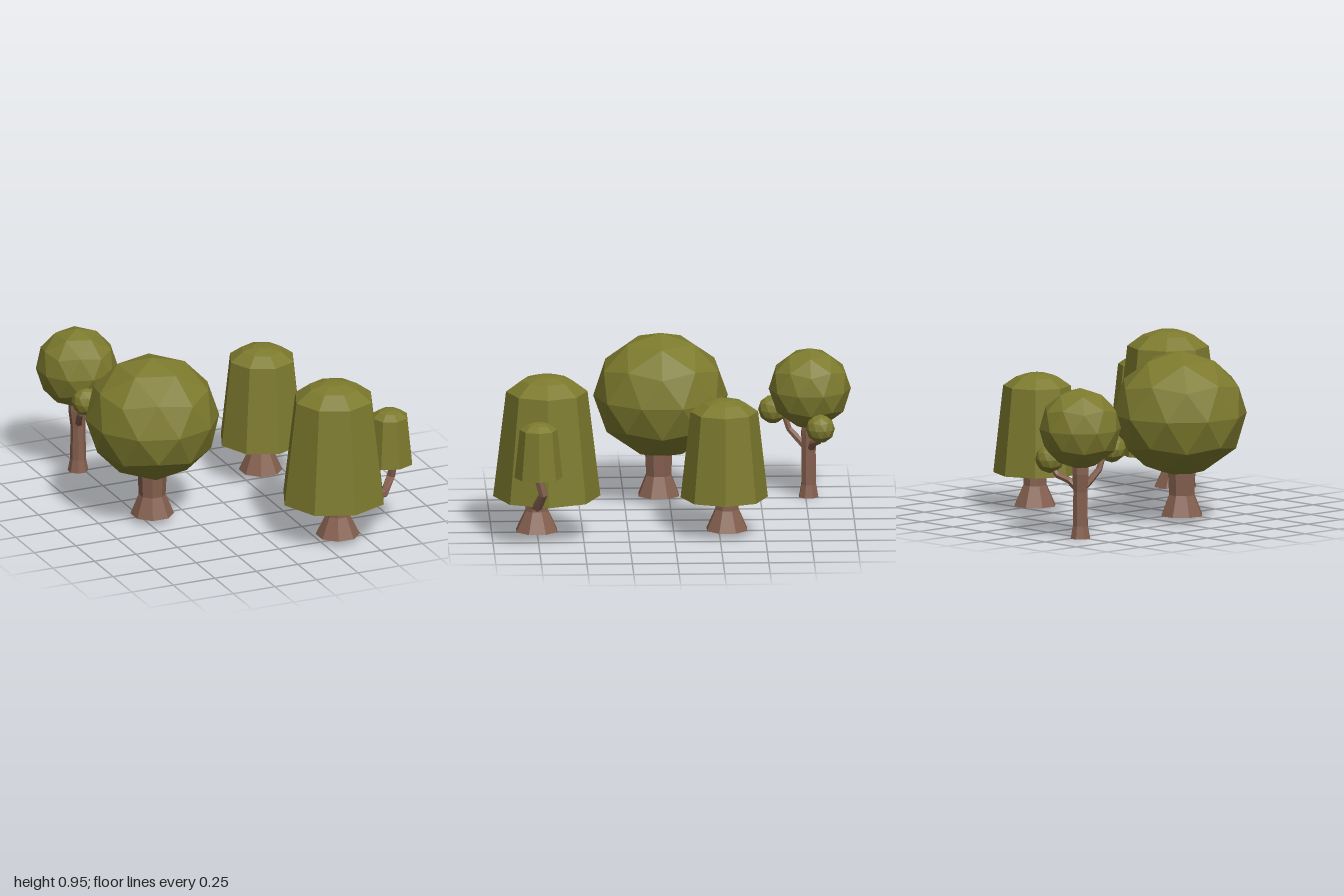
import * as THREE from 'three';

const leaf = new THREE.MeshStandardMaterial({ color: 0x7d7a2e, flatShading: true });
const bark = new THREE.MeshStandardMaterial({ color: 0x85604f, flatShading: true });

function add(parent, name, geometry, material) {
  const mesh = new THREE.Mesh(geometry, material);
  mesh.name = name;
  parent.add(mesh);
  return mesh;
}

// Faceted tapering limb through stations of [x, y, z, radius]
function limb(stations, sides) {
  const n = stations.length - 1;
  const pts = stations.map(s => new THREE.Vector3(s[0], s[1], s[2]));
  const up = new THREE.Vector3(0, 1, 0);
  const turns = pts.map((p, i) => {
    const dir = pts[Math.min(i + 1, n)].clone().sub(pts[Math.max(i - 1, 0)]).normalize();
    return new THREE.Quaternion().setFromUnitVectors(up, dir);
  });
  const geo = new THREE.CylinderGeometry(1, 1, 1, sides, n);
  geo.rotateY(Math.PI / sides);
  const pos = geo.attributes.position;
  const v = new THREE.Vector3();
  for (let k = 0; k < pos.count; k++) {
    v.fromBufferAttribute(pos, k);
    const i = Math.round((v.y + 0.5) * n);
    v.setY(0).multiplyScalar(stations[i][3]).applyQuaternion(turns[i]).add(pts[i]);
    pos.setXYZ(k, v.x, v.y, v.z);
  }
  geo.computeVertexNormals();
  return geo;
}

// Upright trunk from [y, radius] pairs
const trunk = (x, z, profile) => limb(profile.map(([y, r]) => [x, y, z, r]), 8);

// Faceted ball with one vertex pointing straight up
function ball(x, y, z, r, ry = r) {
  const geo = new THREE.IcosahedronGeometry(1, 1);
  geo.rotateZ(-Math.atan(2 / (1 + Math.sqrt(5))));
  geo.scale(r, ry, r);
  geo.translate(x, y, z);
  return geo;
}

// Eight-sided tapered crown with a low domed cap and a closed underside
function bell(x, z, bottom, rim, top, rBottom, rRim) {
  const h = top - rim;
  const profile = [
    [0, bottom], [rBottom, bottom], [rRim, rim],
    [rRim * 0.62, rim + h * 0.7], [rRim * 0.27, rim + h * 0.97], [0, top],
  ].map(([r, y]) => new THREE.Vector2(r, y));
  return new THREE.LatheGeometry(profile, 8).translate(x, 0, z);
}

export function createModel() {
  const model = new THREE.Group();
  model.name = 'treeGroup';
  const tree = name => {
    const g = new THREE.Group();
    g.name = name;
    model.add(g);
    return g;
  };

  // Large round tree
  const round = tree('largeRoundTree');
  add(round, 'trunk', trunk(-0.455, 0.06, [[0.035, 0.12], [0.15, 0.074], [0.27, 0.08], [0.4, 0.08]]), bark);
  add(round, 'crown', ball(-0.45, 0.6, 0.05, 0.37, 0.35), leaf);

  // Slender round tree with two small side tufts
  const slender = tree('slenderRoundTree');
  add(slender, 'trunk', limb([
    [-0.53, 0, -0.767, 0.057], [-0.53, 0.07, -0.767, 0.044], [-0.53, 0.26, -0.767, 0.041],
    [-0.535, 0.36, -0.77, 0.048], [-0.535, 0.48, -0.775, 0.04]], 8), bark);
  add(slender, 'frontBranch', limb([
    [-0.53, 0.27, -0.76, 0.022], [-0.55, 0.32, -0.71, 0.02],
    [-0.565, 0.375, -0.66, 0.018], [-0.57, 0.46, -0.63, 0.016]], 6), bark);
  add(slender, 'sideBranch', limb([
    [-0.53, 0.26, -0.77, 0.022], [-0.47, 0.315, -0.79, 0.02],
    [-0.4, 0.34, -0.815, 0.018], [-0.35, 0.4, -0.83, 0.015]], 6), bark);
  add(slender, 'crown', ball(-0.535, 0.61, -0.773, 0.226), leaf);
  add(slender, 'frontTuft', ball(-0.57, 0.485, -0.57, 0.08), leaf);
  add(slender, 'sideTuft', ball(-0.345, 0.427, -0.825, 0.08), leaf);

  // Tall bell tree with a bent branch and small second crown
  const tall = tree('tallBellTree');
  add(tall, 'trunk', trunk(0.35, 0.755, [[0.035, 0.122], [0.15, 0.066], [0.23, 0.06], [0.35, 0.06]]), bark);
  add(tall, 'branch', limb([
    [0.36, 0.18, 0.755, 0.035], [0.63, 0.235, 0.76, 0.028],
    [0.682, 0.315, 0.73, 0.026], [0.69, 0.45, 0.768, 0.024]], 6), bark);
  add(tall, 'crown', bell(0.35, 0.7, 0.23, 0.82, 0.91, 0.295, 0.224), leaf);
  add(tall, 'smallCrown', bell(0.663, 0.755, 0.41, 0.68, 0.72, 0.132, 0.103), leaf);

  // Short bell tree
  const short = tree('shortBellTree');
  add(short, 'trunk', trunk(0.355, -0.29, [[0.035, 0.12], [0.15, 0.068], [0.22, 0.066], [0.35, 0.06]]), bark);
  add(short, 'crown', bell(0.355, -0.275, 0.217, 0.7, 0.77, 0.24, 0.186), leaf);

  return model;
}
